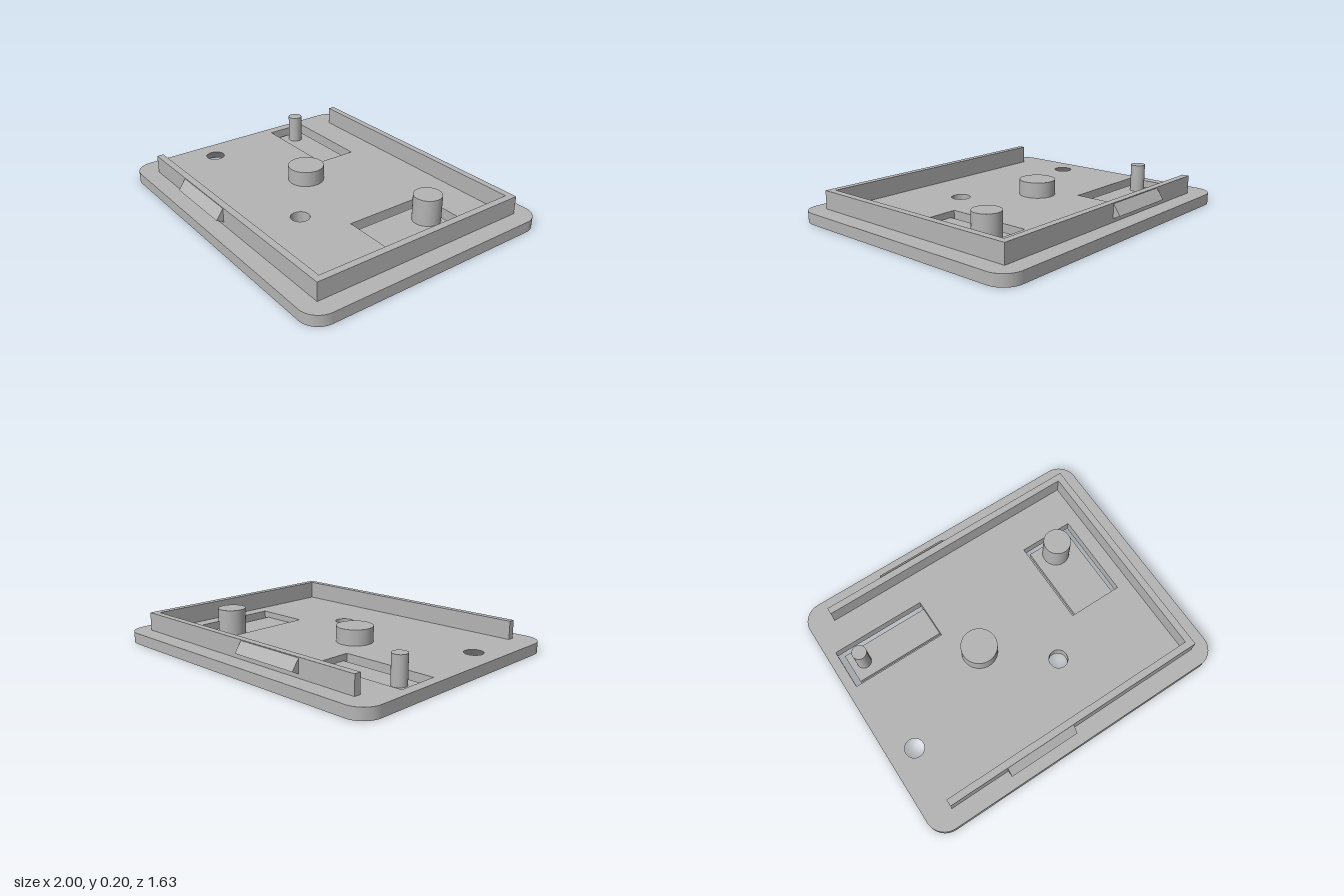
import * as THREE from 'three';
import { toCreasedNormals } from 'three/addons/utils/BufferGeometryUtils.js';

const PLATE = 0.068; // plate thickness
const TONGUE = 0.03; // flexible tongue thickness
const WALL_TOP = 0.181;

export function createModel() {
  const model = new THREE.Group();
  const plastic = new THREE.MeshStandardMaterial({ color: 0xb4b4b4 });
  plastic.name = 'grey plastic';

  const add = (name, geometry) => {
    const mesh = new THREE.Mesh(toCreasedNormals(geometry, 0.5), plastic);
    mesh.name = name;
    model.add(mesh);
    return mesh;
  };
  // Extrudes a plan outline (drawn in x, -z) upwards from y0 to y1
  const slab = (name, shape, y0, y1) => {
    const g = new THREE.ExtrudeGeometry(shape, { depth: y1 - y0, bevelEnabled: false, curveSegments: 24 });
    add(name, g.rotateX(-Math.PI / 2).translate(0, y0, 0));
  };
  const outline = (points) => new THREE.Shape(points.map(([x, z]) => new THREE.Vector2(x, -z)));
  const rect = (x0, x1, z0, z1) => outline([[x0, z0], [x0, z1], [x1, z1], [x1, z0]]);
  const circle = (x, z, r) => new THREE.Path().absarc(x, -z, r, 0, Math.PI * 2, true);
  const post = (name, x, z, r, y0, y1) =>
    add(name, new THREE.CylinderGeometry(r, r, y1 - y0, 48).translate(x, (y0 + y1) / 2, z));

  // Base plate with rounded corners, two slots and two holes
  const X = 1, Z = 0.815, R = 0.12;
  const base = new THREE.Shape();
  base.absarc(X - R, Z - R, R, 0, Math.PI / 2);
  base.absarc(-X + R, Z - R, R, Math.PI / 2, Math.PI);
  base.absarc(-X + R, -Z + R, R, Math.PI, Math.PI * 1.5);
  base.absarc(X - R, -Z + R, R, Math.PI * 1.5, Math.PI * 2);
  base.holes.push(
    rect(-0.939, -0.337, -0.477, -0.219),
    rect(0.412, 0.76, -0.421, 0.124),
    circle(0.176, 0.308, 0.058),
    circle(-0.84, 0.294, 0.11),
  );
  slab('basePlate', base, 0, PLATE);

  // Countersunk screw hole, wide at the underside
  const sink = [[0.11, PLATE], [0.058, PLATE], [0.11, 0]].map(([r, y]) => new THREE.Vector2(r, y));
  add('countersink', new THREE.LatheGeometry(sink, 48)).position.set(-0.84, 0, 0.294);

  // Thin spring tongues, each joined to the plate at one end
  slab('smallTongue', rect(-0.904, -0.337, -0.441, -0.247), 0, TONGUE);
  slab('largeTongue', rect(0.439, 0.727, -0.387, 0.124), 0, TONGUE);

  // Button pins and the central boss
  post('smallPin', -0.82, -0.347, 0.045, TONGUE, 0.204);
  post('largePin', 0.583, -0.304, 0.086, TONGUE, 0.194);
  post('centralBoss', -0.198, 0, 0.112, PLATE, 0.165);

  // U-shaped rim wall, open towards -x
  slab('rimWall', outline([
    [-0.842, 0.708], [0.888, 0.708], [0.888, -0.708], [-0.842, -0.708],
    [-0.842, -0.666], [0.845, -0.666], [0.845, 0.666], [-0.842, 0.666],
  ]), PLATE, WALL_TOP);

  // Snap-fit wedges on the front and back walls
  for (const side of [1, -1]) {
    const wedge = new THREE.Shape([[0.708, 0.176], [0.753, 0.112], [0.708, 0.09]]
      .map(([z, y]) => new THREE.Vector2(-side * z, y)));
    const g = new THREE.ExtrudeGeometry(wedge, { depth: 0.457, bevelEnabled: false });
    add(side > 0 ? 'frontClip' : 'backClip', g.rotateY(Math.PI / 2).translate(-0.46, 0, 0));
  }

  return model;
}
